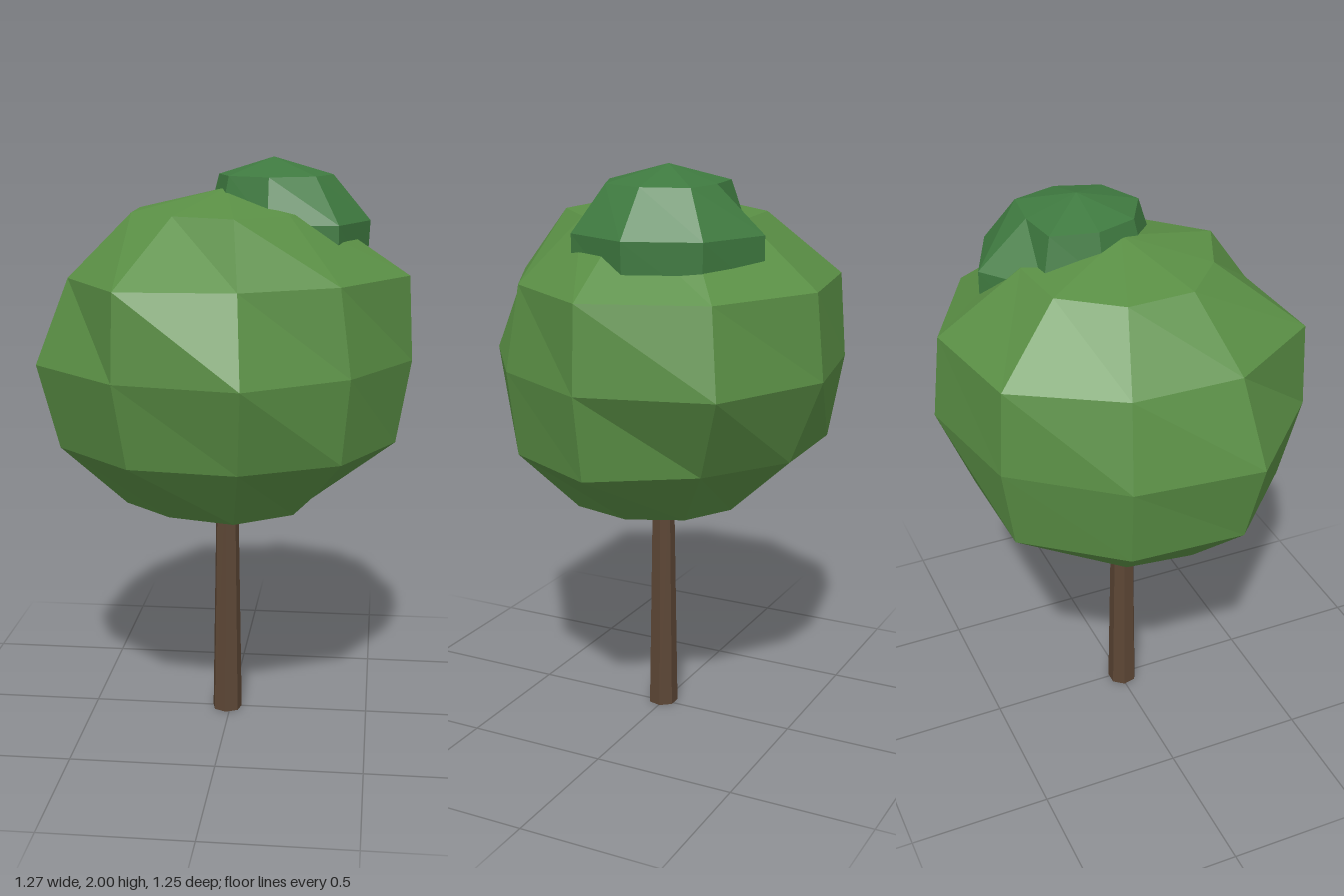
import * as THREE from 'three';

const mat = (color) => new THREE.MeshStandardMaterial({ color, flatShading: true, roughness: 0.9 });

// Low-poly leaf ball: a sphere whose rings get uneven radii.
// rings: top to bottom without the poles, each radius listed counter-clockwise from +x towards +z.
function leafBall(name, color, radius, rings, center) {
  const cols = rings[0].length;
  const rows = rings.length + 1;
  const geo = new THREE.SphereGeometry(radius, cols, rows);
  const pos = geo.attributes.position;
  for (let i = 0; i < pos.count; i++) {
    const row = Math.floor(i / (cols + 1));
    const k = i % (cols + 1);
    if (row === 0 || row === rows) {
      pos.setXYZ(i, 0, row === 0 ? radius : -radius, 0);
      continue;
    }
    const j = (cols - k) % cols;
    const a = (j / cols) * Math.PI * 2;
    const r = rings[row - 1][j];
    pos.setXYZ(i, r * Math.cos(a), radius * Math.cos((row / rows) * Math.PI), r * Math.sin(a));
  }
  geo.computeVertexNormals();
  const mesh = new THREE.Mesh(geo, mat(color));
  mesh.name = name;
  mesh.position.set(...center);
  return mesh;
}

export function createModel() {
  const tree = new THREE.Group();
  tree.name = 'tree';

  // Tapered seven-sided trunk, reaching into the crown
  const trunk = new THREE.Mesh(new THREE.CylinderGeometry(0.039, 0.054, 0.9, 7), mat(0x5c4635));
  trunk.name = 'trunk';
  trunk.position.set(-0.012, 0.45, 0.008);
  tree.add(trunk);

  // Main crown
  tree.add(leafBall('mainCrown', 0x5a8f45, 0.585, [
    [0.31, 0.30, 0.36, 0.30, 0.33, 0.34, 0.35, 0.33, 0.33],
    [0.63, 0.53, 0.518, 0.607, 0.55, 0.545, 0.612, 0.61, 0.62],
    [0.645, 0.58, 0.63, 0.62, 0.666, 0.62, 0.634, 0.64, 0.68],
    [0.595, 0.545, 0.53, 0.55, 0.59, 0.57, 0.58, 0.52, 0.50],
    [0.305, 0.33, 0.355, 0.33, 0.36, 0.33, 0.30, 0.285, 0.29],
  ], [-0.015, 1.315, 0]));

  // Darker tuft sunk into the top, on the left and towards the back
  tree.add(leafBall('topTuft', 0x3f7a40, 0.31, [
    [0.205, 0.215, 0.22, 0.20, 0.19, 0.22, 0.175, 0.22],
    [0.335, 0.332, 0.27, 0.24, 0.23, 0.276, 0.345, 0.34],
    [0.325, 0.33, 0.25, 0.24, 0.23, 0.28, 0.345, 0.33],
    [0.20, 0.20, 0.20, 0.19, 0.19, 0.20, 0.20, 0.20],
  ], [0.14, 1.69, -0.09]));

  return tree;
}
